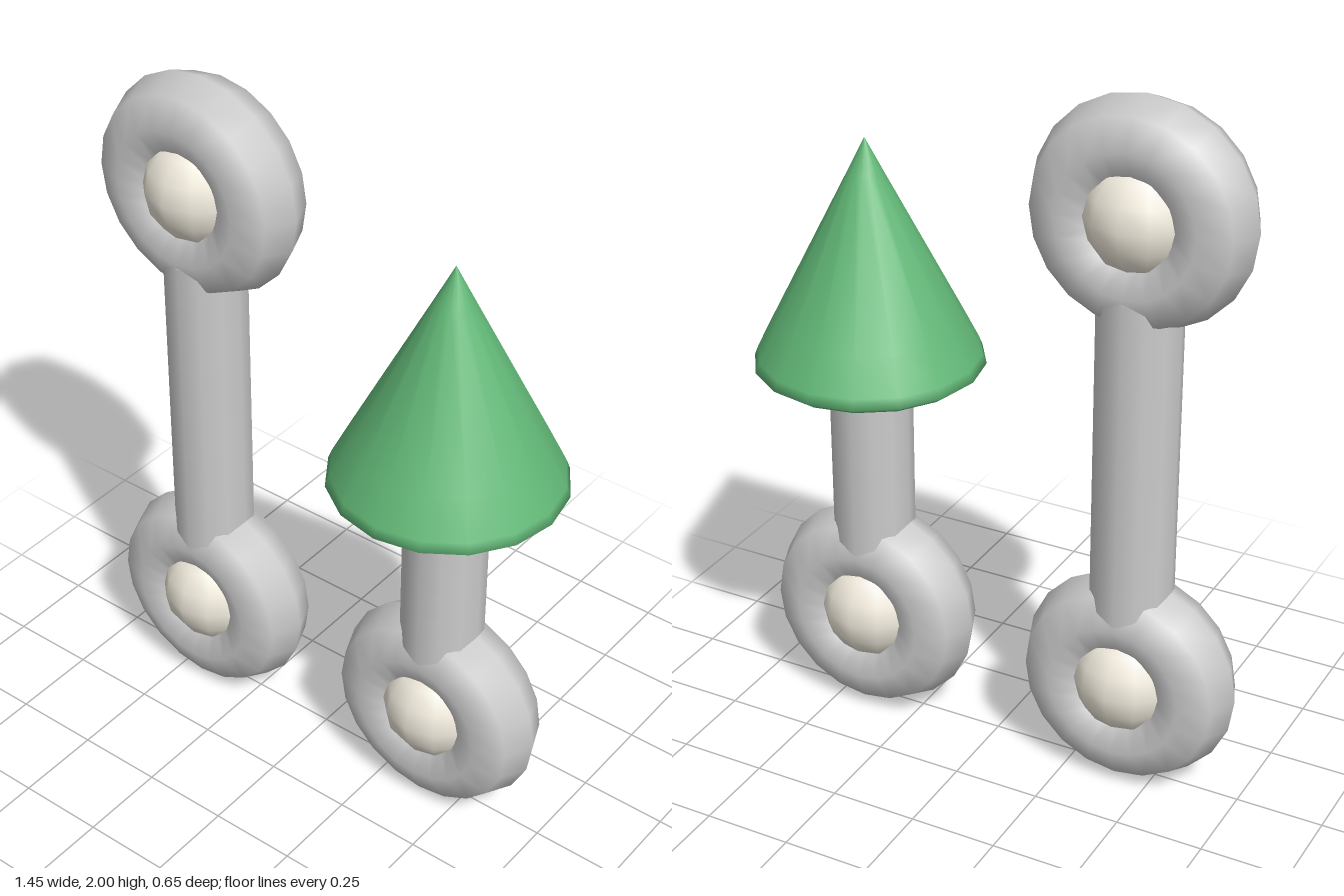
import * as THREE from 'three';

const grey = new THREE.MeshStandardMaterial({ color: 0xcccccc });
const cream = new THREE.MeshStandardMaterial({ color: 0xf0eadc });
const green = new THREE.MeshStandardMaterial({ color: 0x62b877 });

const RING = 0.195, TUBE = 0.12, LOW = 0.315, HIGH = 1.685;

function add(parent, name, geometry, material, x, y) {
  const mesh = new THREE.Mesh(geometry, material);
  mesh.name = name;
  mesh.position.set(x, y, 0);
  parent.add(mesh);
}

// Upright ring with a ball filling its hole
function addEye(parent, name, x, y) {
  const eye = new THREE.Group();
  eye.name = name;
  eye.position.set(x, y, 0);
  add(eye, 'ring', new THREE.TorusGeometry(RING, TUBE, 8, 20), grey, 0, 0);
  add(eye, 'ball', new THREE.SphereGeometry(0.16, 12, 8), cream, 0, 0);
  parent.add(eye);
}

function addRod(parent, x, y0, y1) {
  add(parent, 'rod', new THREE.CylinderGeometry(0.116, 0.116, y1 - y0, 12), grey, x, (y0 + y1) / 2);
}

export function createModel() {
  const model = new THREE.Group();

  // Long link: a ring at each end
  const link = new THREE.Group();
  link.name = 'doubleRingLink';
  addEye(link, 'lowerEye', -0.412, LOW);
  addEye(link, 'upperEye', -0.412, HIGH);
  addRod(link, -0.412, LOW + RING + 0.015, HIGH - RING - 0.015);

  // Short pin: a ring below, a cone tip above
  const pin = new THREE.Group();
  pin.name = 'conePin';
  addEye(pin, 'pinEye', 0.4, LOW);
  addRod(pin, 0.4, LOW + RING + 0.015, 1.1);
  const profile = [[0, 1.077], [0.295, 1.077], [0.323, 1.097], [0.312, 1.125], [0.265, 1.22], [0.05, 1.645], [0, 1.745]]
    .map(([r, y]) => new THREE.Vector2(r, y));
  add(pin, 'coneTip', new THREE.LatheGeometry(profile, 16), green, 0.4, 0);

  model.add(link, pin);
  return model;
}
